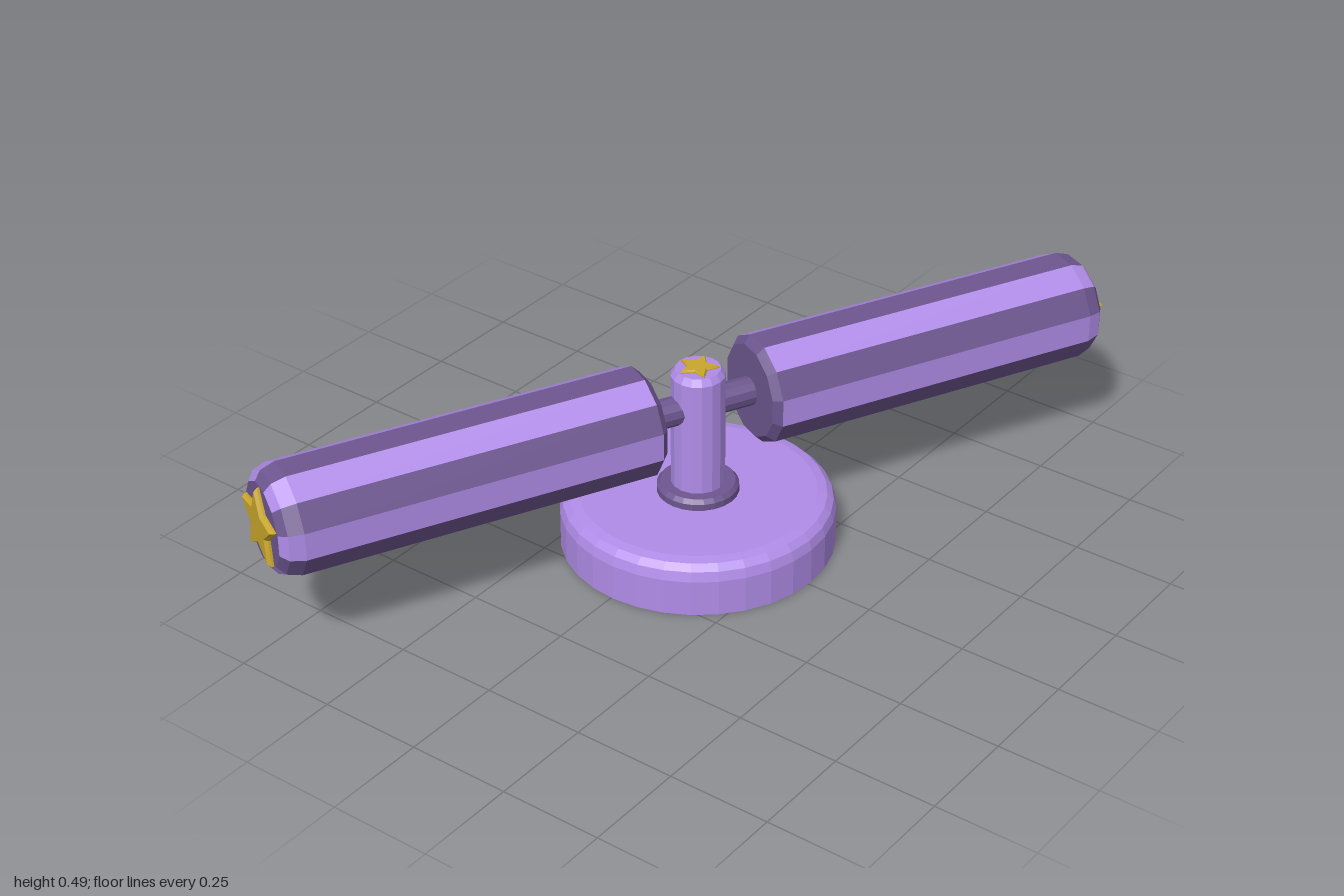
import * as THREE from 'three';
import { mergeGeometries } from 'three/addons/utils/BufferGeometryUtils.js';

const paint = (color) => new THREE.MeshStandardMaterial({ color, flatShading: true });
const light = paint(0xb08ce8), dark = paint(0x6d568f), gold = paint(0xc9a62c);

const SIDES = 12;
const STEP = (Math.PI * 2) / SIDES;
const AXLE_Y = 0.362;

function add(parent, name, geometry, material) {
  const mesh = new THREE.Mesh(geometry, material);
  mesh.name = name;
  parent.add(mesh);
  return mesh;
}

function lathe(profile, sides, start = 0, sweep = Math.PI * 2) {
  return new THREE.LatheGeometry(profile.map(([r, y]) => new THREE.Vector2(r, y)), sides, start, sweep);
}

// Five-pointed star with a bevelled front, standing in the xy plane
function starGeometry(radius, depth) {
  const shape = new THREE.Shape();
  for (let i = 0; i < 10; i++) {
    const r = (i % 2 ? 0.48 : 1) * radius * 0.9;
    const a = Math.PI / 2 + (i * Math.PI) / 5;
    shape[i ? 'lineTo' : 'moveTo'](r * Math.cos(a), r * Math.sin(a));
  }
  shape.closePath();
  return new THREE.ExtrudeGeometry(shape, {
    depth: depth * 0.4, bevelEnabled: true, bevelThickness: depth * 0.6, bevelSize: radius * 0.06, bevelSegments: 1,
  });
}

// Every second facet of a lathed barrel, for the stripes
function stripes(profile, parity) {
  const facets = [];
  for (let k = parity; k < SIDES; k += 2) facets.push(lathe(profile, 1, (k - 0.5) * STEP, STEP));
  return mergeGeometries(facets).rotateZ(-Math.PI / 2);
}

// Arm along +x: axle, striped roller, end caps and star
function createArm(end) {
  const arm = new THREE.Group();
  const start = 0.135;
  const barrel = [[0.132, start + 0.018], [0.132, end - 0.05], [0.121, end - 0.016], [0.1, end]];
  const cap = (profile) => lathe(profile, SIDES, -STEP / 2).rotateZ(-Math.PI / 2);

  add(arm, 'axle', new THREE.CylinderGeometry(0.035, 0.035, 0.16, 12).rotateZ(Math.PI / 2).translate(0.08, 0, 0), dark);
  add(arm, 'rollerLightStripes', stripes(barrel, 0), light);
  add(arm, 'rollerDarkStripes', stripes(barrel, 1), dark);
  add(arm, 'rollerInnerCap', cap([[0, start], [0.114, start], [0.132, start + 0.018]]), dark);
  add(arm, 'rollerOuterCap', cap([[0.1, end], [0, end]]), dark);
  add(arm, 'rollerStar', starGeometry(0.097, 0.014).rotateY(Math.PI / 2), gold).position.x = end;
  return arm;
}

export function createModel() {
  const model = new THREE.Group();
  model.name = 'twinRollerStand';
  model.position.set(0.01, 0, 0.006);

  // Round foot with a softened top edge
  add(model, 'base', lathe([[0, 0], [0.325, 0], [0.325, 0.09], [0.318, 0.113], [0.303, 0.127], [0.28, 0.132], [0, 0.132]], 32), light);
  add(model, 'collar', lathe([[0.097, 0.13], [0.097, 0.148], [0.088, 0.158], [0, 0.158]], 24), dark);

  // Upright post and the star on its top
  add(model, 'post', lathe([[0.064, 0.15], [0.064, 0.445], [0.053, 0.461], [0, 0.461]], 16), light);
  add(model, 'postStar', starGeometry(0.05, 0.008).rotateX(-Math.PI / 2), gold).position.y = 0.46;

  // Two opposite arms
  const turn = THREE.MathUtils.degToRad(-25.8);
  [['leftArm', 1.04, 0], ['rightArm', 1.062, Math.PI]].forEach(([name, end, flip]) => {
    const arm = createArm(end);
    arm.name = name;
    arm.position.y = AXLE_Y;
    arm.rotation.y = turn + flip;
    model.add(arm);
  });

  const root = new THREE.Group();
  root.add(model);
  return root;
}
